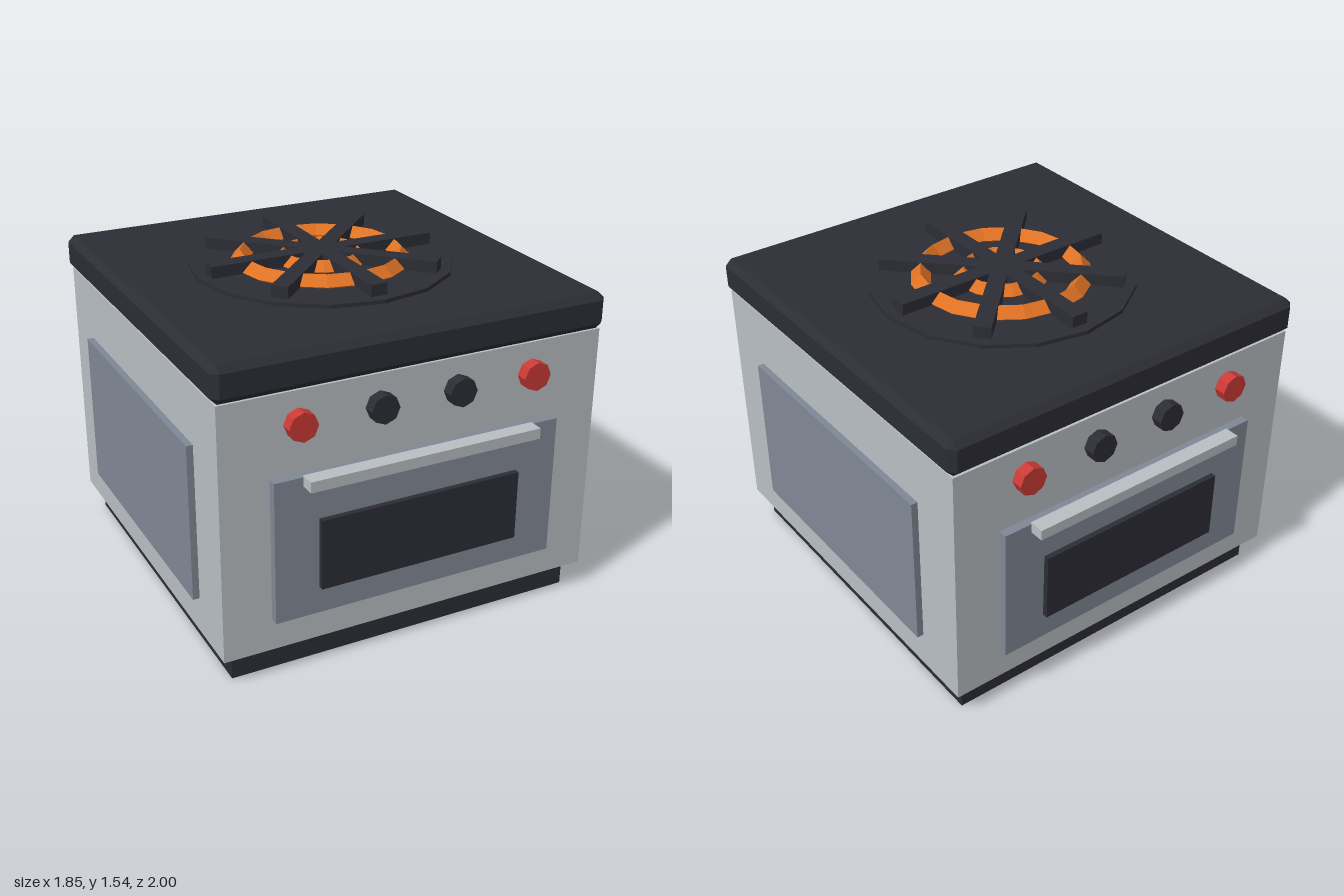
import * as THREE from 'three';
import { ConvexGeometry } from 'three/addons/geometries/ConvexGeometry.js';

const mat = (name, color) => {
  const m = new THREE.MeshStandardMaterial({ color, flatShading: true });
  m.name = name;
  return m;
};

// Box with every edge cut at 45 degrees
function chamferedBox(w, h, d, b) {
  const pts = [];
  for (const sx of [-1, 1]) for (const sy of [-1, 1]) for (const sz of [-1, 1]) {
    const x = w / 2, y = h / 2, z = d / 2;
    pts.push(
      new THREE.Vector3(sx * x, sy * (y - b), sz * (z - b)),
      new THREE.Vector3(sx * (x - b), sy * y, sz * (z - b)),
      new THREE.Vector3(sx * (x - b), sy * (y - b), sz * z));
  }
  return new ConvexGeometry(pts);
}

export function createModel() {
  const model = new THREE.Group();
  model.name = 'stove';
  const steel = mat('lightSteel', 0xb9bfc3);
  const panel = mat('greyPanel', 0x818896);
  const dark = mat('darkEnamel', 0x2d2d36);
  const red = mat('redKnob', 0xcb3a35);
  const orange = mat('hotCoil', 0xdf7224);

  const add = (parent, name, geo, material, x = 0, y = 0, z = 0) => {
    const mesh = new THREE.Mesh(geo, material);
    mesh.name = name;
    mesh.position.set(x, y, z);
    parent.add(mesh);
    return mesh;
  };
  // Box given by its lower and upper limits
  const span = (parent, name, material, x0, x1, y0, y1, z0, z1) =>
    add(parent, name, new THREE.BoxGeometry(x1 - x0, y1 - y0, z1 - z0), material,
      (x0 + x1) / 2, (y0 + y1) / 2, (z0 + z1) / 2);

  // Carcass
  span(model, 'plinth', dark, -0.84, 0.84, 0, 0.13, -0.84, 0.84);
  span(model, 'body', steel, -0.895, 0.895, 0.13, 1.3, -0.895, 0.895);
  add(model, 'worktop', chamferedBox(1.825, 0.165, 1.825, 0.03), dark, 0, 1.3825, 0);

  // Side panels
  span(model, 'leftPanel', panel, 0.88, 0.925, 0.3, 1.025, -0.64, 0.64);
  span(model, 'rightPanel', panel, -0.925, -0.88, 0.3, 1.025, -0.64, 0.64);

  // Oven door, handle and knobs, the same on front and back
  for (const side of ['front', 'back']) {
    const face = new THREE.Group();
    face.name = side + 'Face';
    span(face, 'door', panel, -0.675, 0.675, 0.28, 0.935, 0.88, 0.935);
    span(face, 'window', dark, -0.475, 0.475, 0.405, 0.73, 0.92, 0.96);
    span(face, 'handle', steel, -0.545, 0.545, 0.893, 0.942, 0.93, 1.0);
    [-0.548, -0.183, 0.183, 0.548].forEach((x, i) => {
      const knob = add(face, 'knob', new THREE.CylinderGeometry(0.065, 0.065, 0.07, 8),
        i % 3 === 0 ? red : dark, x, 1.16, 0.915);
      knob.rotation.x = Math.PI / 2;
    });
    if (side === 'back') face.rotation.y = Math.PI;
    model.add(face);
  }

  // Burner: plate, two glowing coils and a star-shaped grate
  const burner = new THREE.Group();
  burner.name = 'burner';
  add(burner, 'burnerPlate', new THREE.CylinderGeometry(0.6, 0.6, 0.03, 16), dark, 0, 1.467, 0);
  for (const [r, tube] of [[0.365, 0.045], [0.172, 0.043]]) {
    const coil = add(burner, 'coil', new THREE.TorusGeometry(r, tube, 4, 16), orange, 0, 1.488, 0);
    coil.rotation.x = -Math.PI / 2;
  }
  for (let i = 0; i < 4; i++) {
    const bar = add(burner, 'grateBar', new THREE.BoxGeometry(1.095, 0.057, 0.078), dark, 0, 1.507, 0);
    bar.rotation.y = i * Math.PI / 4;
  }
  model.add(burner);
  return model;
}
